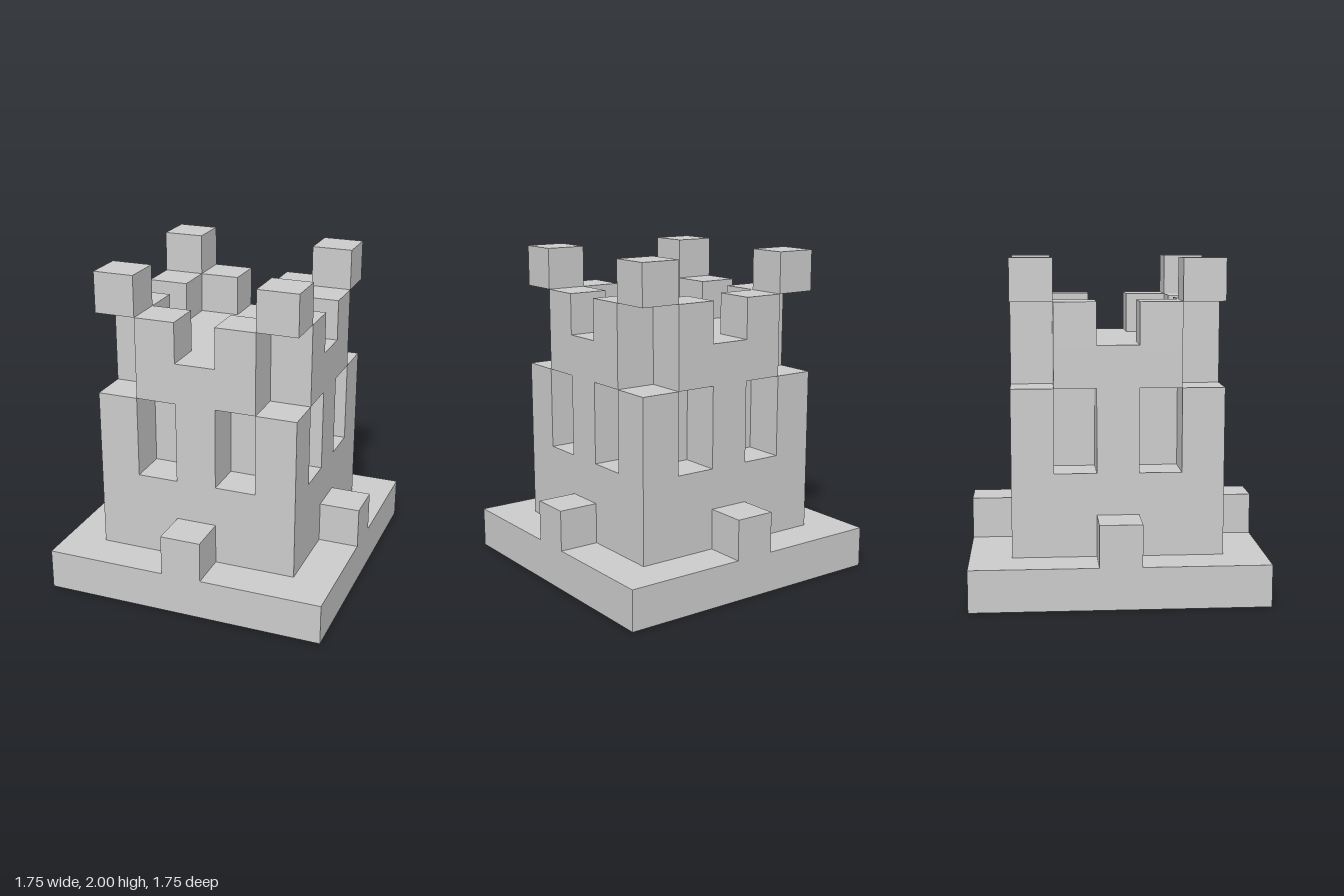
import * as THREE from 'three';

const U = 0.25; // one block
const material = new THREE.MeshStandardMaterial({ color: 0xcccccc, flatShading: true });

export function createModel() {
  const tower = new THREE.Group();
  tower.name = 'castleTower';

  const add = (name, geometry, x, y, z) => {
    const mesh = new THREE.Mesh(geometry, material);
    mesh.name = name;
    mesh.position.set(x * U, y * U, z * U);
    tower.add(mesh);
  };

  // Box standing on height y, all sizes in blocks
  const block = (name, w, h, d, x, y, z) =>
    add(name, new THREE.BoxGeometry(w * U, h * U, d * U), x, y + h / 2, z);

  // Storey with a four-fold symmetric plan, given by one quarter of its outline
  const storey = (name, quarter, y, h) => {
    const points = [];
    for (let k = 0; k < 4; k++) {
      for (const [x, z] of quarter) {
        points.push(new THREE.Vector2(x * U, z * U).rotateAround(new THREE.Vector2(), k * Math.PI / 2));
      }
    }
    const geometry = new THREE.ExtrudeGeometry(new THREE.Shape(points), { depth: h * U, bevelEnabled: false });
    geometry.rotateX(-Math.PI / 2);
    add(name, geometry, 0, y, 0);
  };

  block('basePlate', 7, 1, 7, 0, 0, 0);
  block('lowerStorey', 5, 2, 5, 0, 1, 0);

  // Cross-shaped core leaves the window recesses open beside the corner posts
  storey('windowStorey', [[2.5, 0.5], [1.5, 0.5], [1.5, 1.5], [0.5, 1.5], [0.5, 2.5]], 3, 2);
  storey('upperStorey', [[2.5, 1.5], [1.5, 1.5], [1.5, 2.5]], 5, 1);

  // Entrance blocks in the middle of each side
  for (const s of [-1, 1]) {
    block('entranceBlock', 1, 1, 1, 0, 1, 3 * s);
    block('entranceBlock', 1, 1, 1, 3 * s, 1, 0);
  }

  // Corner posts, paired merlons and raised corner cubes
  for (const sx of [-1, 1]) {
    for (const sz of [-1, 1]) {
      block('cornerPost', 1, 2, 1, 2 * sx, 3, 2 * sz);
      block('merlon', 1, 1, 1, sx, 6, 2 * sz);
      block('merlon', 1, 1, 1, 2 * sx, 6, sz);
      block('cornerCube', 1, 1, 1, 2 * sx, 7, 2 * sz);
    }
  }
  return tower;
}
